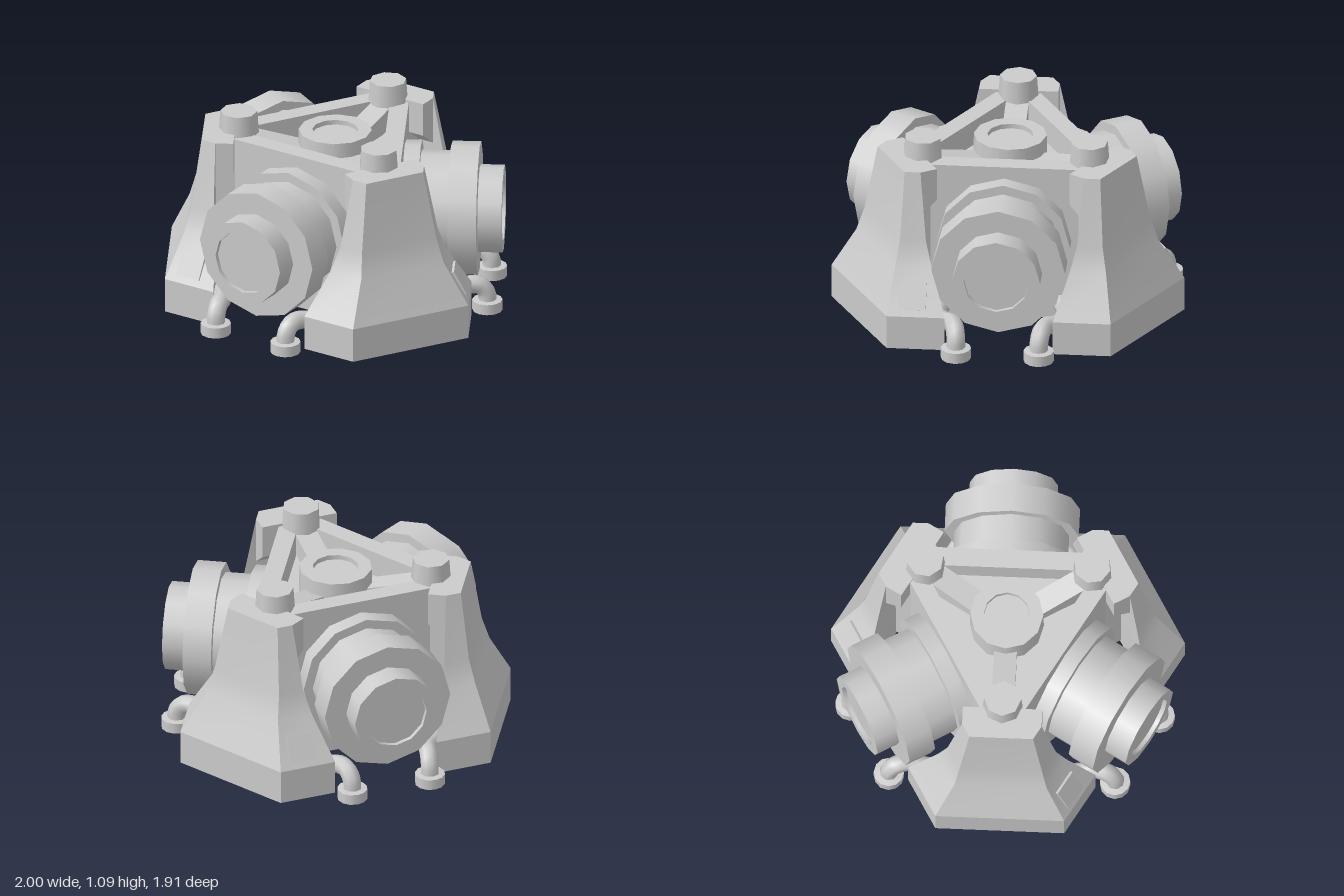
import * as THREE from 'three';
import { mergeGeometries } from 'three/addons/utils/BufferGeometryUtils.js';

const grey = new THREE.MeshStandardMaterial({ color: 0xcccccc, side: THREE.DoubleSide });

function add(parent, name, geometry, x = 0, y = 0, z = 0) {
  const mesh = new THREE.Mesh(geometry, grey);
  mesh.name = name;
  mesh.position.set(x, y, z);
  parent.add(mesh);
  return mesh;
}

// Turned solid with a crisp edge at every profile point [radius, height]
function turned(profile, sides) {
  const bands = [];
  for (let i = 0; i < profile.length - 1; i++) {
    const pair = [profile[i], profile[i + 1]].map(p => new THREE.Vector2(...p));
    bands.push(new THREE.LatheGeometry(pair, sides));
  }
  return mergeGeometries(bands);
}

// Flat plan outline of [x, z] points raised from y0 to y1
function raised(outline, y0, y1, hole) {
  const points = list => list.map(([x, z]) => new THREE.Vector2(x, -z));
  const shape = new THREE.Shape(points(outline));
  if (hole) shape.holes.push(new THREE.Path(points(hole)));
  return new THREE.ExtrudeGeometry(shape, { depth: y1 - y0, bevelEnabled: false })
    .rotateX(-Math.PI / 2).translate(0, y0, 0);
}

// Three long sides at distance a, three short sides at distance b
function hexagon(a, b) {
  const x = (b - a / 2) / Math.cos(Math.PI / 6);
  const out = [];
  for (let k = 0; k < 3; k++) {
    const c = Math.cos(k * 2 * Math.PI / 3), s = Math.sin(k * 2 * Math.PI / 3);
    for (const u of [-x, x]) out.push([u * c + a * s, a * c - u * s]);
  }
  return out;
}

// Flared hollow leg lofted from trapezoid sections, open underneath
function legGeometry() {
  // height, outer half width, outer distance, rear half width, rear distance
  const sections = [
    [0, 0.365, 0.945, 0.53, 0.66],
    [0.2, 0.365, 0.945, 0.53, 0.66],
    [0.45, 0.26, 0.84, 0.363, 0.662],
    [0.59, 0.235, 0.80, 0.307, 0.672],
    [0.985, 0.18, 0.745, 0.225, 0.667],
  ];
  const rings = sections.map(([y, w, r, rw, rr]) =>
    [[-rw, y, rr], [-w, y, r], [w, y, r], [rw, y, rr]]);
  const parts = [];
  const surface = (points, index) => {
    const g = new THREE.BufferGeometry();
    g.setAttribute('position', new THREE.Float32BufferAttribute(points.flat(), 3));
    g.setIndex(index);
    g.computeVertexNormals();
    parts.push(g);
  };
  for (const span of [rings.slice(0, 2), rings.slice(1)]) {
    for (let side = 0; side < 4; side++) {
      const points = [], index = [];
      span.forEach((ring, j) => {
        points.push(ring[side], ring[(side + 1) % 4]);
        const n = j * 2;
        if (j < span.length - 1) index.push(n, n + 1, n + 3, n, n + 3, n + 2);
      });
      surface(points, index);
    }
  }
  surface(rings[4], [0, 1, 2, 0, 2, 3]);
  return mergeGeometries(parts);
}

// Block behind the leg top, cut away at a slant below
function capGeometry() {
  const profile = [[0.667, 0.71], [0.667, 0.985], [0.565, 0.985], [0.565, 0.79]];
  const shape = new THREE.Shape(profile.map(([r, y]) => new THREE.Vector2(-r, y)));
  return new THREE.ExtrudeGeometry(shape, { depth: 0.45, bevelEnabled: false })
    .translate(0, 0, -0.225).rotateY(Math.PI / 2);
}

function buildLeg() {
  const leg = new THREE.Group();
  leg.name = 'leg';
  add(leg, 'flaredFoot', legGeometry());
  add(leg, 'legPost', new THREE.BoxGeometry(0.26, 0.935, 0.11), 0, 0.5025, 0.612);
  add(leg, 'legCap', capGeometry());
  add(leg, 'topPeg', turned([[0.114, 0.96], [0.105, 1.09], [0, 1.09]], 8), 0, 0, 0.546);
  // Sloping rib between the leg and the hub
  add(leg, 'topRib', new THREE.BoxGeometry(0.13, 0.12, 0.36), 0, 0.87, 0.34).rotation.x = -0.22;
  return leg;
}

function buildBarrel() {
  const barrel = new THREE.Group();
  barrel.name = 'barrel';
  const profile = [[0, 0.375], [0.38, 0.375], [0.38, 0.485], [0.325, 0.485], [0.325, 0.655],
    [0.38, 0.655], [0.38, 0.818], [0.25, 0.818], [0.25, 0.955], [0.185, 0.955],
    [0.185, 0.93], [0, 0.93]];
  add(barrel, 'barrelBody', turned(profile, 12).rotateX(Math.PI / 2), 0, 0.52, 0);
  return barrel;
}

// Bent pipe with an open collar standing on the ground
function buildPipe(side) {
  const pipe = new THREE.Group();
  pipe.name = 'pipe';
  const path = new THREE.CatmullRomCurve3([
    [0.235, 0.04, 0.875], [0.236, 0.11, 0.868], [0.245, 0.155, 0.83], [0.265, 0.16, 0.76],
    [0.32, 0.14, 0.69], [0.36, 0.13, 0.62], [0.36, 0.13, 0.52], [0.32, 0.13, 0.38],
  ].map(([x, y, z]) => new THREE.Vector3(side * x, y, z)));
  add(pipe, 'pipeBend', new THREE.TubeGeometry(path, 24, 0.053, 8));
  const collar = [[0.06, 0.035], [0.06, 0], [0.086, 0], [0.086, 0.062], [0.05, 0.066]];
  add(pipe, 'pipeCollar', turned(collar, 12), side * 0.235, 0, 0.875);
  return pipe;
}

export function createModel() {
  const model = new THREE.Group();
  model.name = 'triplePortHousing';
  const body = new THREE.Group();
  body.name = 'body';
  body.position.z = -0.01;
  model.add(body);

  // Hollow core, sunken top deck and raised rim
  const outer = hexagon(0.393, 0.56);
  add(body, 'coreWall', raised(outer, 0.035, 0.81, hexagon(0.387, 0.554)));
  add(body, 'topDeck', raised(outer, 0.81, 0.82));
  add(body, 'topRim', raised(outer, 0.82, 0.97, hexagon(0.285, 0.48)));
  add(body, 'hub', turned([[0.21, 0.81], [0.207, 0.988], [0.13, 0.988], [0.13, 0.96], [0, 0.96]], 12));

  // Three identical sectors around the core
  for (let k = 0; k < 3; k++) {
    const sector = new THREE.Group();
    sector.name = 'sector';
    sector.rotation.y = k * 2 * Math.PI / 3;
    const leg = buildLeg();
    leg.rotation.y = -Math.PI / 3;
    sector.add(leg, buildBarrel(), buildPipe(1), buildPipe(-1));
    const pad = add(sector, 'legPad', new THREE.BoxGeometry(0.155, 0.157, 0.03), -0.493, 0.302, 0.727);
    pad.rotation.x = -0.48;
    body.add(sector);
  }
  return model;
}
